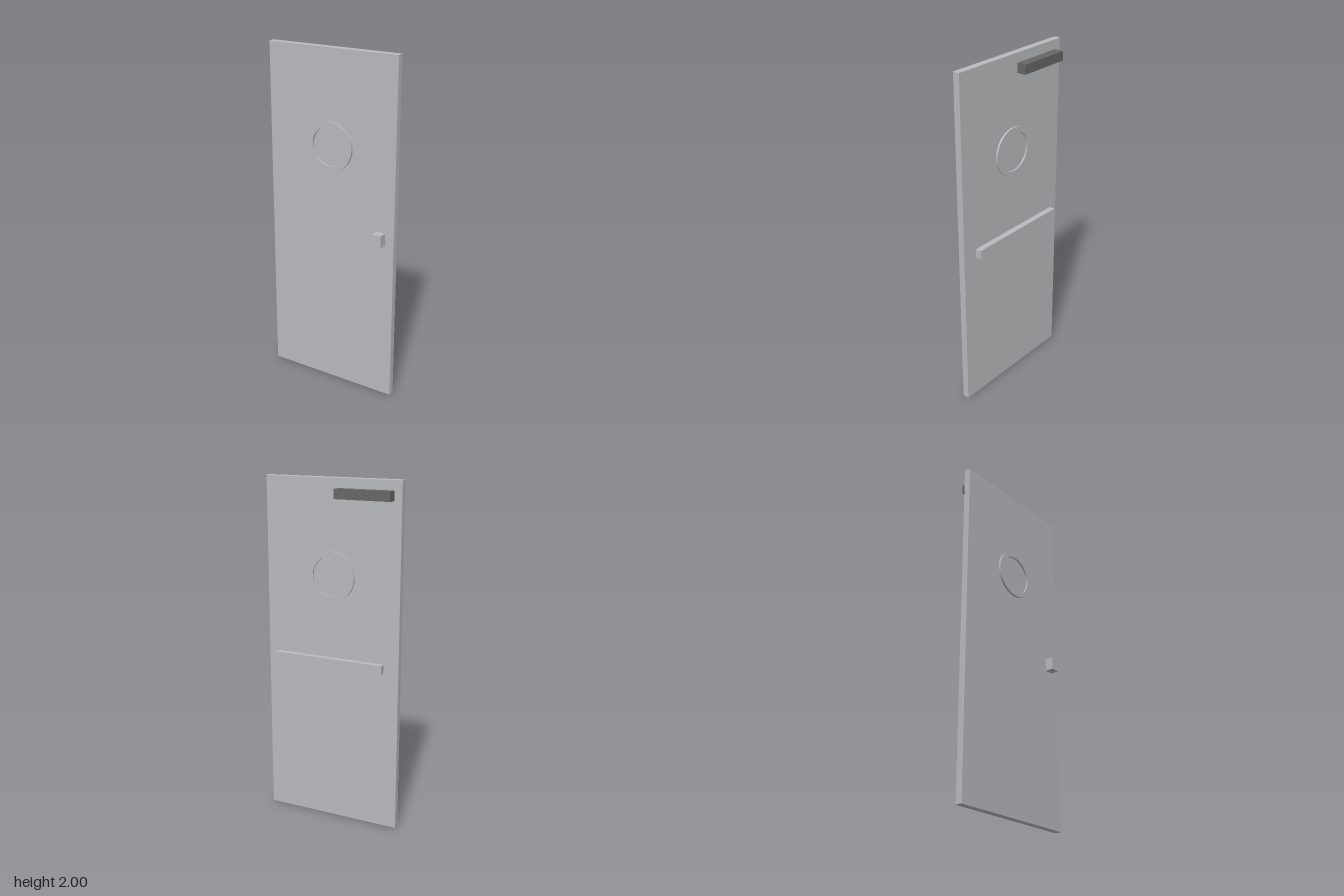
import * as THREE from 'three';
import { RoundedBoxGeometry } from 'three/addons/geometries/RoundedBoxGeometry.js';

export function createModel() {
  const group = new THREE.Group();
  const steel = new THREE.MeshStandardMaterial({ name: 'light steel', color: 0xb9babe });
  const dark = new THREE.MeshStandardMaterial({ name: 'dark grey', color: 0x666666 });

  const add = (name, geometry, material) => {
    const mesh = new THREE.Mesh(geometry, material);
    mesh.name = name;
    group.add(mesh);
    return mesh;
  };
  // Box given by its lower and upper limits on each axis
  const box = (name, [x0, x1], [y0, y1], [z0, z1], material) =>
    add(name, new THREE.BoxGeometry(x1 - x0, y1 - y0, z1 - z0), material)
      .position.set((x0 + x1) / 2, (y0 + y1) / 2, (z0 + z1) / 2);

  // Door leaf with slightly eased edges
  const back = -0.018, front = 0.022;
  add('doorLeaf', new RoundedBoxGeometry(0.82, 2, front - back, 1, 0.003), steel)
    .position.set(0, 1, (front + back) / 2);

  // Flat porthole rim on each face, with a thin pane inside
  const rim = new THREE.Shape().absarc(0, 0, 0.14, 0, Math.PI * 2);
  rim.holes.push(new THREE.Path().absarc(0, 0, 0.114, 0, Math.PI * 2, true));
  const rimDepth = 0.013;
  const rimGeometry = new THREE.ExtrudeGeometry(rim, { depth: rimDepth, bevelEnabled: false, curveSegments: 24 });
  const paneGeometry = new THREE.CylinderGeometry(0.114, 0.114, 0.002, 48).rotateX(Math.PI / 2);
  for (const [side, rimZ, paneZ] of [['front', front, front + 0.001], ['back', back - rimDepth + 0.001, back - 0.001]]) {
    add(side + 'PortholeRim', rimGeometry, steel).position.set(0, 1.457, rimZ);
    add(side + 'PortholePane', paneGeometry, steel).position.set(0, 1.457, paneZ);
  }

  // Handle block on the front
  box('handle', [0.3, 0.355], [0.942, 1.016], [front, 0.071], steel);

  // Push bar standing clear of the back
  box('pushBar', [-0.328, 0.336], [0.942, 0.995], [-0.073, -0.038], steel);

  // Door closer housing at the top of the back
  box('doorCloser', [-0.366, -0.038], [1.89, 1.944], [-0.073, back], dark);

  return group;
}
